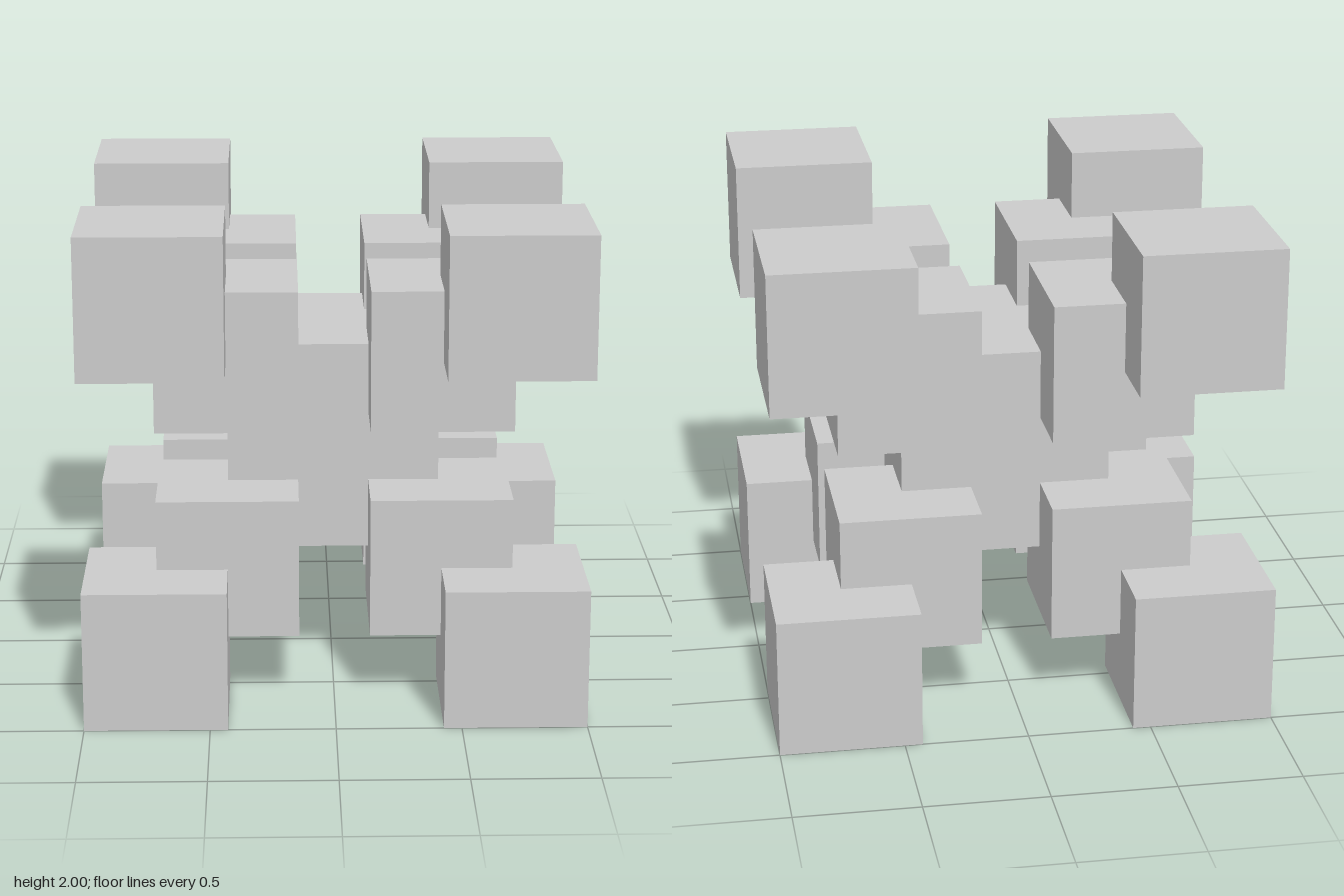
import * as THREE from 'three';

const U = 1 / 7; // modelling unit: the whole is 14 units wide

export function createModel() {
  const model = new THREE.Group();
  model.name = 'cubeCluster';
  const material = new THREE.MeshStandardMaterial({ color: 0xcccccc, flatShading: true });

  const addCube = (name, geometry, x, y, z) => {
    const cube = new THREE.Mesh(geometry, material);
    cube.name = name;
    cube.position.set(x, y + 1, z);
    model.add(cube);
  };

  // Central core
  addCube('core', new THREE.BoxGeometry(6 * U, 6 * U, 6 * U), 0, 0, 0);

  // Two overlapping cubes along each of the eight diagonals
  const armGeometry = new THREE.BoxGeometry(4 * U, 4 * U, 4 * U);
  for (const [name, d] of [['innerCube', 3 * U], ['cornerCube', 5 * U]]) {
    for (const sx of [-1, 1])
      for (const sy of [-1, 1])
        for (const sz of [-1, 1])
          addCube(name, armGeometry, sx * d, sy * d, sz * d);
  }
  return model;
}
